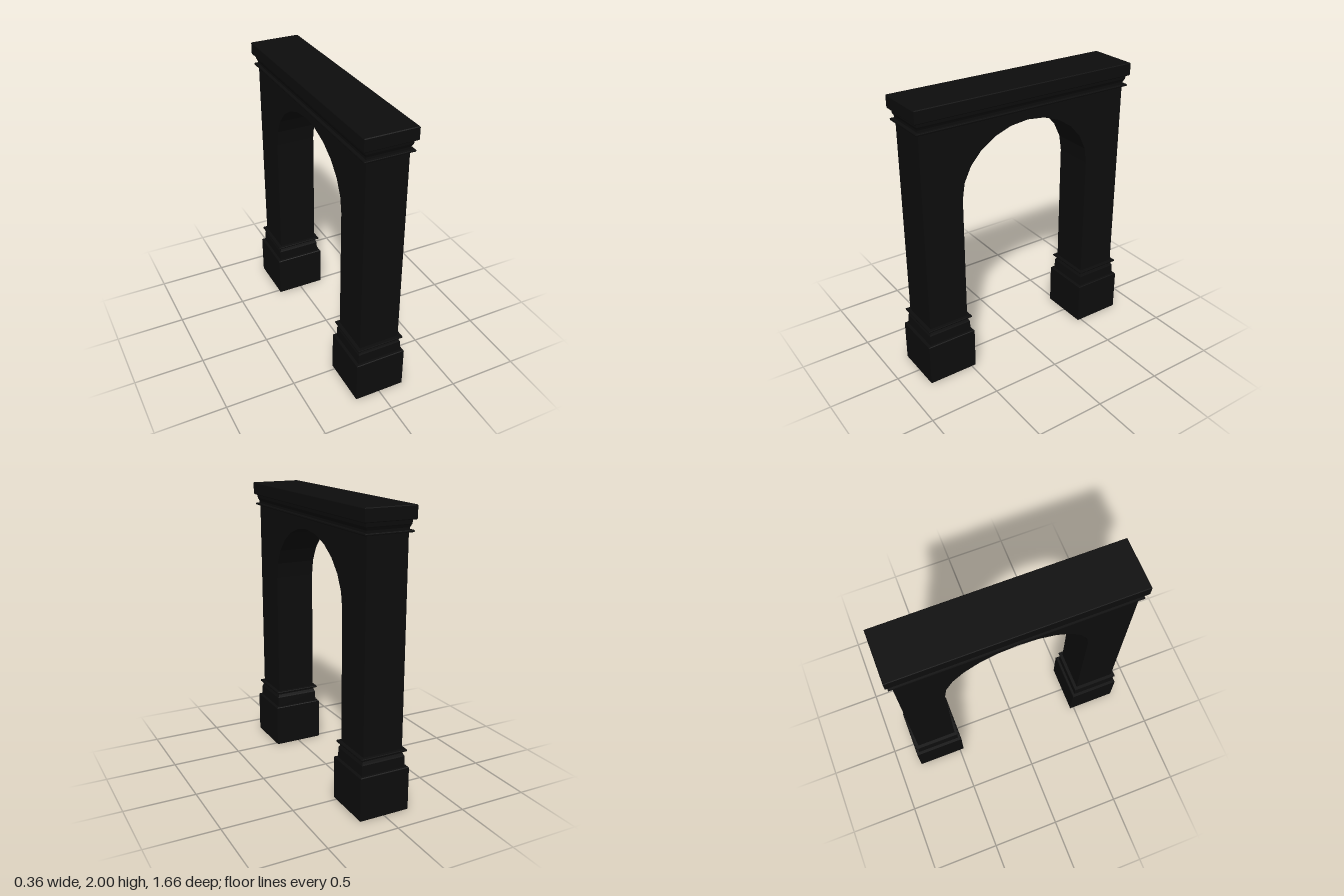
import * as THREE from 'three';

const material = new THREE.MeshStandardMaterial({ color: 0x0d0d0d, flatShading: true });
const HALF_X = 0.144, PIER_Z = 0.65, OUTER_Z = 0.795, INNER_Z = 0.505;
const SPRING_Y = 1.326, ARCH_RISE = 0.434;

// Rectangular moulding: sweeps a profile of [outset, y], bottom to top, around a rectangle
function moulding(name, halfX, halfZ, profile) {
  const positions = [], index = [];
  for (const [out, y] of profile) {
    const x = halfX + out, z = halfZ + out;
    positions.push(x, y, z, x, y, -z, -x, y, -z, -x, y, z);
  }
  for (let i = 0; i < profile.length - 1; i++) {
    for (let j = 0; j < 4; j++) {
      const a = i * 4 + j, b = i * 4 + (j + 1) % 4;
      index.push(a, b, b + 4, a, b + 4, a + 4);
    }
  }
  const t = (profile.length - 1) * 4;
  index.push(0, 2, 1, 0, 3, 2, t, t + 1, t + 2, t, t + 2, t + 3);
  const indexed = new THREE.BufferGeometry();
  indexed.setAttribute('position', new THREE.Float32BufferAttribute(positions, 3));
  indexed.setIndex(index);
  const geometry = indexed.toNonIndexed();
  geometry.computeVertexNormals();
  const mesh = new THREE.Mesh(geometry, material);
  mesh.name = name;
  return mesh;
}

// Two shafts and the arched wall above them, cut from one slab
function archBody() {
  const shape = new THREE.Shape();
  shape.moveTo(-OUTER_Z, 0.3);
  shape.lineTo(-INNER_Z, 0.3);
  for (let i = 0; i <= 12; i++) {
    const angle = Math.PI * (1 - i / 12);
    shape.lineTo(INNER_Z * Math.cos(angle), SPRING_Y + ARCH_RISE * Math.sin(angle));
  }
  shape.lineTo(INNER_Z, 0.3);
  shape.lineTo(OUTER_Z, 0.3);
  shape.lineTo(OUTER_Z, 1.92);
  shape.lineTo(-OUTER_Z, 1.92);
  const geometry = new THREE.ExtrudeGeometry(shape, { depth: HALF_X * 2, bevelEnabled: false });
  geometry.translate(0, 0, -HALF_X);
  geometry.rotateY(-Math.PI / 2);
  const mesh = new THREE.Mesh(geometry, material);
  mesh.name = 'archBody';
  return mesh;
}

export function createModel() {
  const group = new THREE.Group();
  group.name = 'archway';
  group.add(archBody());

  // Pier bases: plinth, stepped block with a cove, thin fillet ring
  const base = [
    [0.032, 0], [0.036, 0.005], [0.036, 0.303], [0.032, 0.308],
    [0.016, 0.308], [0.014, 0.38], [0.010, 0.388], [0.004, 0.402], [0.004, 0.417],
    [0.023, 0.417], [0.025, 0.421], [0.025, 0.426], [0.023, 0.43], [0, 0.43],
  ];
  for (const side of [1, -1]) {
    const mesh = moulding(side > 0 ? 'frontBase' : 'backBase', HALF_X, HALF_X, base);
    mesh.position.z = side * PIER_Z;
    group.add(mesh);
  }

  // Cornice: fillet ring, cove and top slab along the whole length
  group.add(moulding('cornice', HALF_X, OUTER_Z, [
    [0, 1.836], [0.023, 1.836], [0.025, 1.84], [0.025, 1.845], [0.023, 1.849],
    [0.004, 1.849], [0.004, 1.864], [0.010, 1.878], [0.014, 1.886], [0.016, 1.912],
    [0.032, 1.912], [0.036, 1.917], [0.036, 1.995], [0.032, 2],
  ]));
  return group;
}
